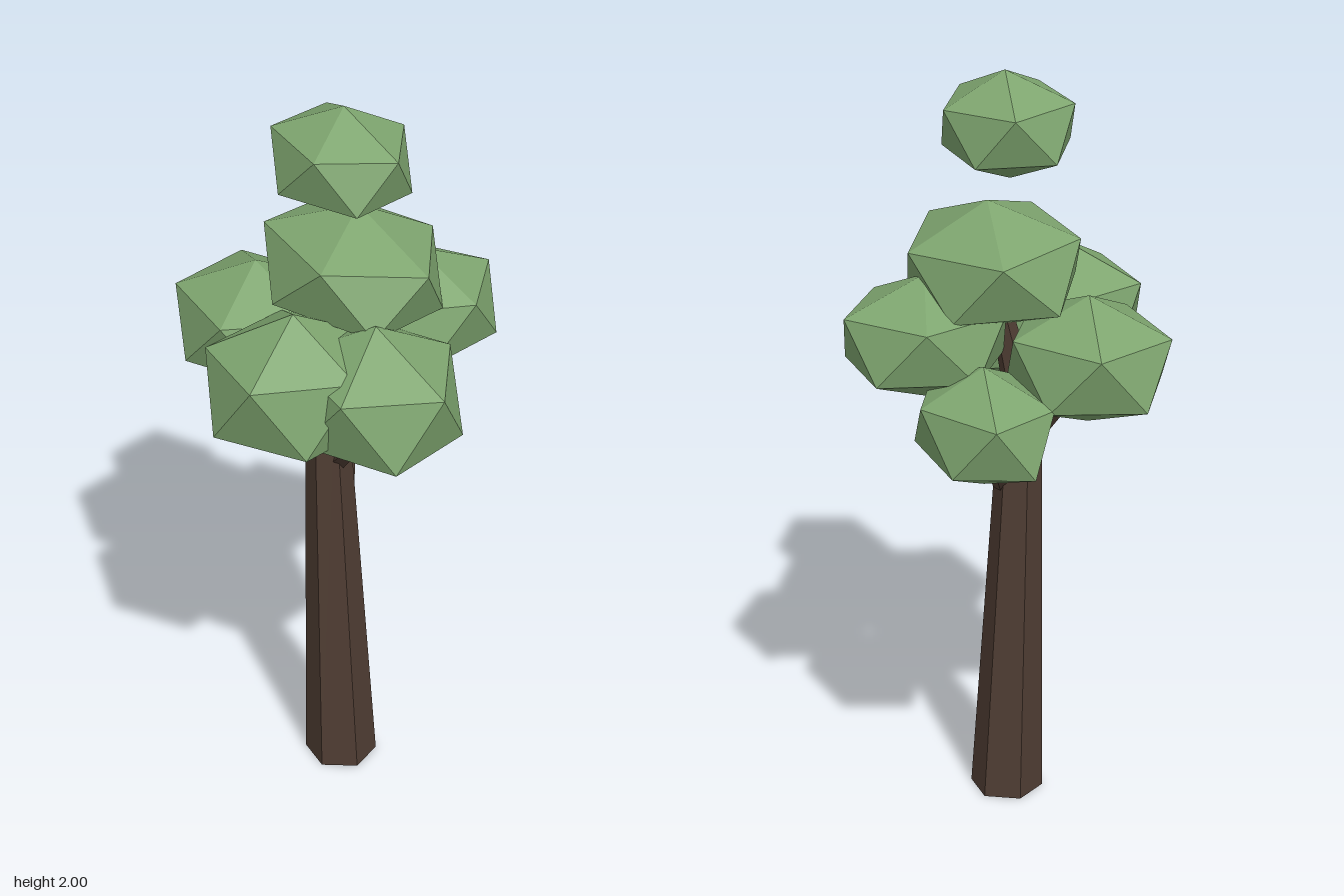
import * as THREE from 'three';

export function createModel() {
  const tree = new THREE.Group();
  tree.name = 'tree';

  const leafGreen = new THREE.MeshStandardMaterial({ color: 0x7ea56f, flatShading: true });
  leafGreen.name = 'leaf green';
  const barkBrown = new THREE.MeshStandardMaterial({ color: 0x4f3d33, flatShading: true });
  barkBrown.name = 'bark brown';

  // Tapered prism running from one point to another
  function limb(name, from, to, r0, r1, sides) {
    const a = new THREE.Vector3(...from);
    const b = new THREE.Vector3(...to);
    const dir = b.clone().sub(a);
    const mesh = new THREE.Mesh(new THREE.CylinderGeometry(r1, r0, dir.length(), sides), barkBrown);
    mesh.quaternion.setFromUnitVectors(new THREE.Vector3(0, 1, 0), dir.clone().normalize());
    mesh.position.copy(a).add(b).multiplyScalar(0.5);
    mesh.name = name;
    tree.add(mesh);
  }

  // Leaning trunk: a sheared hexagonal prism, so its foot stays flat on the ground
  const height = 1.2;
  const trunkGeo = new THREE.CylinderGeometry(0.053, 0.098, height, 6).translate(0, height / 2, 0);
  const p = trunkGeo.attributes.position;
  for (let i = 0; i < p.count; i++) {
    const t = p.getY(i) / height;
    p.setX(i, p.getX(i) - 0.017 - 0.033 * t);
    p.setZ(i, p.getZ(i) - 0.013 - 0.017 * t);
  }
  const trunk = new THREE.Mesh(trunkGeo, barkBrown);
  trunk.name = 'trunk';
  tree.add(trunk);

  // Branches reaching into the side clumps
  limb('backLeftBranch', [-0.01, 0.9, -0.01], [0.13, 1.15, -0.23], 0.03, 0.018, 5);
  limb('frontBranch', [-0.03, 0.97, -0.01], [-0.04, 1.2, 0.22], 0.03, 0.018, 5);
  limb('leftBranch', [-0.03, 1.0, -0.01], [0.19, 1.27, -0.03], 0.03, 0.018, 5);
  limb('rightBranch', [-0.04, 1.03, -0.02], [-0.19, 1.25, 0.1], 0.03, 0.018, 5);
  limb('backRightBranch', [-0.04, 1.0, -0.03], [-0.14, 1.26, -0.22], 0.03, 0.018, 5);
  limb('topBranch', [-0.05, 1.15, -0.03], [0.02, 1.45, -0.03], 0.045, 0.025, 6);

  // Faceted clump with one corner straight up and an upper-ring corner towards +x
  const clumpGeo = new THREE.IcosahedronGeometry(1, 0);
  clumpGeo.rotateZ(-Math.atan(2 / (1 + Math.sqrt(5))));

  // name, centre, radii, tilt
  const clumps = [
    ['topClump', [-0.035, 1.86, 0.03], [0.188, 0.14, 0.218], -0.05],
    ['crownClump', [0.029, 1.525, -0.03], [0.247, 0.167, 0.297], -0.09],
    ['leftClump', [0.217, 1.36, -0.04], [0.238, 0.163, 0.224], 0],
    ['frontClump', [-0.04, 1.3, 0.22], [0.235, 0.195, 0.27], 0],
    ['rightClump', [-0.21, 1.318, 0.11], [0.248, 0.2, 0.24], 0],
    ['backRightClump', [-0.145, 1.315, -0.235], [0.228, 0.168, 0.256], 0],
    ['backLeftClump', [0.139, 1.18, -0.24], [0.186, 0.157, 0.25], 0],
  ];
  for (const [name, centre, radii, tilt] of clumps) {
    const clump = new THREE.Mesh(clumpGeo, leafGreen);
    clump.position.set(...centre);
    clump.scale.set(...radii);
    clump.rotation.z = tilt;
    clump.name = name;
    tree.add(clump);
  }

  return tree;
}
